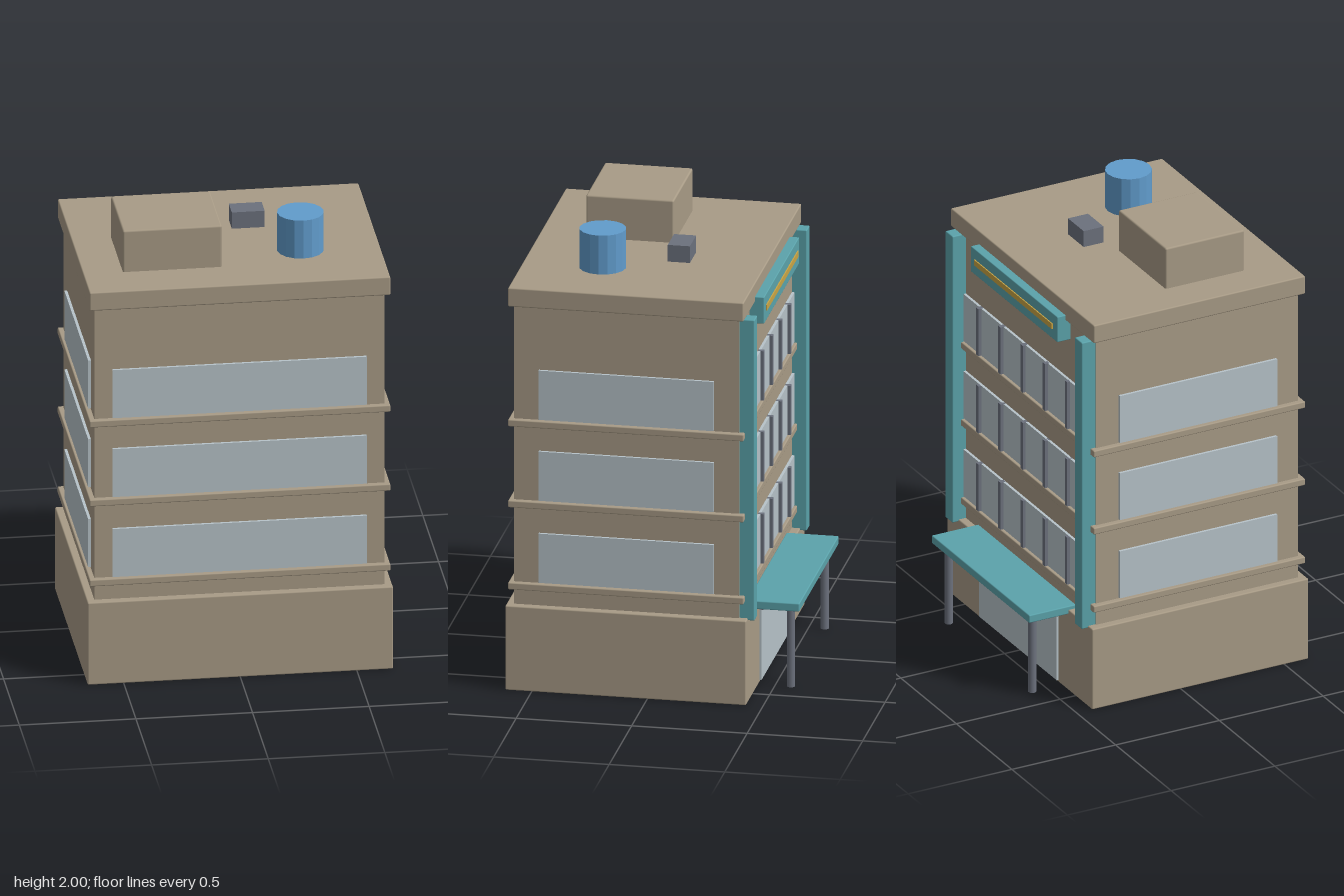
import * as THREE from 'three';
import { RoundedBoxGeometry } from 'three/addons/geometries/RoundedBoxGeometry.js';

const paint = (name, color) => {
  const m = new THREE.MeshStandardMaterial({ color });
  m.name = name;
  return m;
};

export function createModel() {
  const building = new THREE.Group();
  building.name = 'officeBuilding';

  const stone = paint('tan stone', 0xa89b86);
  const teal = paint('teal trim', 0x5ba3ab);
  const glass = paint('pale glass', 0xb7c3c9);
  const steel = paint('dark grey steel', 0x6c717d);
  const blue = paint('blue tank', 0x619ccc);
  const gold = paint('gold strip', 0xc9a545);
  tankShading(blue);

  const add = (name, geometry, material, x, y, z) => {
    const mesh = new THREE.Mesh(geometry, material);
    mesh.name = name;
    mesh.position.set(x, y, z);
    building.add(mesh);
    return mesh;
  };

  // Box given by its extents; a bevel softens the edges
  const box = (name, material, [x0, x1], [y0, y1], [z0, z1], bevel = 0) => {
    const size = [x1 - x0, y1 - y0, z1 - z0];
    const geometry = bevel
      ? new RoundedBoxGeometry(...size, 2, bevel)
      : new THREE.BoxGeometry(...size);
    return add(name, geometry, material, (x0 + x1) / 2, (y0 + y1) / 2, (z0 + z1) / 2);
  };

  // Main masses
  box('groundFloor', stone, [-0.655, 0.655], [0, 0.38], [-0.428, 0.615], 0.006);
  box('upperFloors', stone, [-0.622, 0.622], [0.37, 1.74], [-0.392, 0.582]);
  box('parapet', stone, [-0.645, 0.645], [1.725, 1.81], [-0.415, 0.605], 0.006);

  // Three storeys: ledge, window bands on all sides, mullions at the back
  for (const sill of [0.485, 0.855, 1.22]) {
    const rows = [sill, sill + 0.222];
    box('ledge', stone, [-0.645, 0.645], [sill - 0.035, sill - 0.004], [-0.415, 0.605], 0.005);
    box('frontWindow', glass, [-0.545, 0.545], rows, [0.57, 0.594]);
    box('backWindow', glass, [-0.555, 0.555], rows, [-0.404, -0.38]);
    for (const s of [-1, 1]) {
      const side = box('sideWindow', glass, [0.61, 0.634], rows, [-0.283, 0.475]);
      side.position.x *= s;
    }
    for (let i = -2; i <= 2; i++) {
      box('mullion', steel, [i * 0.2 - 0.011, i * 0.2 + 0.011], rows, [-0.418, -0.39]);
    }
  }

  // Back pillars and canopy posts, mirrored
  for (const s of [-1, 1]) {
    const pillar = box('backPillar', teal, [0.55, 0.615], [0.37, 1.725], [-0.457, -0.385], 0.005);
    pillar.position.x *= s;
    add('canopyPost', new THREE.CylinderGeometry(0.018, 0.018, 0.365, 12), steel, s * 0.375, 0.1825, -0.568);
  }

  // Blank sign with its light strip
  box('signBoard', teal, [-0.39, 0.39], [1.63, 1.75], [-0.455, -0.38], 0.004);
  box('signStrip', gold, [-0.35, 0.35], [1.677, 1.703], [-0.46, -0.452]);

  // Entrance
  box('canopy', teal, [-0.44, 0.44], [0.36, 0.397], [-0.617, -0.39], 0.005);
  box('entranceGlass', glass, [-0.35, 0.35], [0.01, 0.335], [-0.436, -0.42]);
  box('entranceHeader', steel, [-0.36, 0.36], [0.33, 0.346], [-0.445, -0.42]);

  // Roof equipment
  box('stairHouse', stone, [-0.475, -0.05], [1.8, 2], [0.022, 0.402], 0.008);
  box('ventUnit', steel, [0.046, 0.187], [1.8, 1.885], [-0.094, 0.002]);
  add('waterTank', new THREE.CylinderGeometry(0.1, 0.1, 0.185, 16), blue, 0.305, 1.8925, 0.26);

  return building;
}

// Faceted sides for the tank
function tankShading(material) {
  material.flatShading = true;
}
